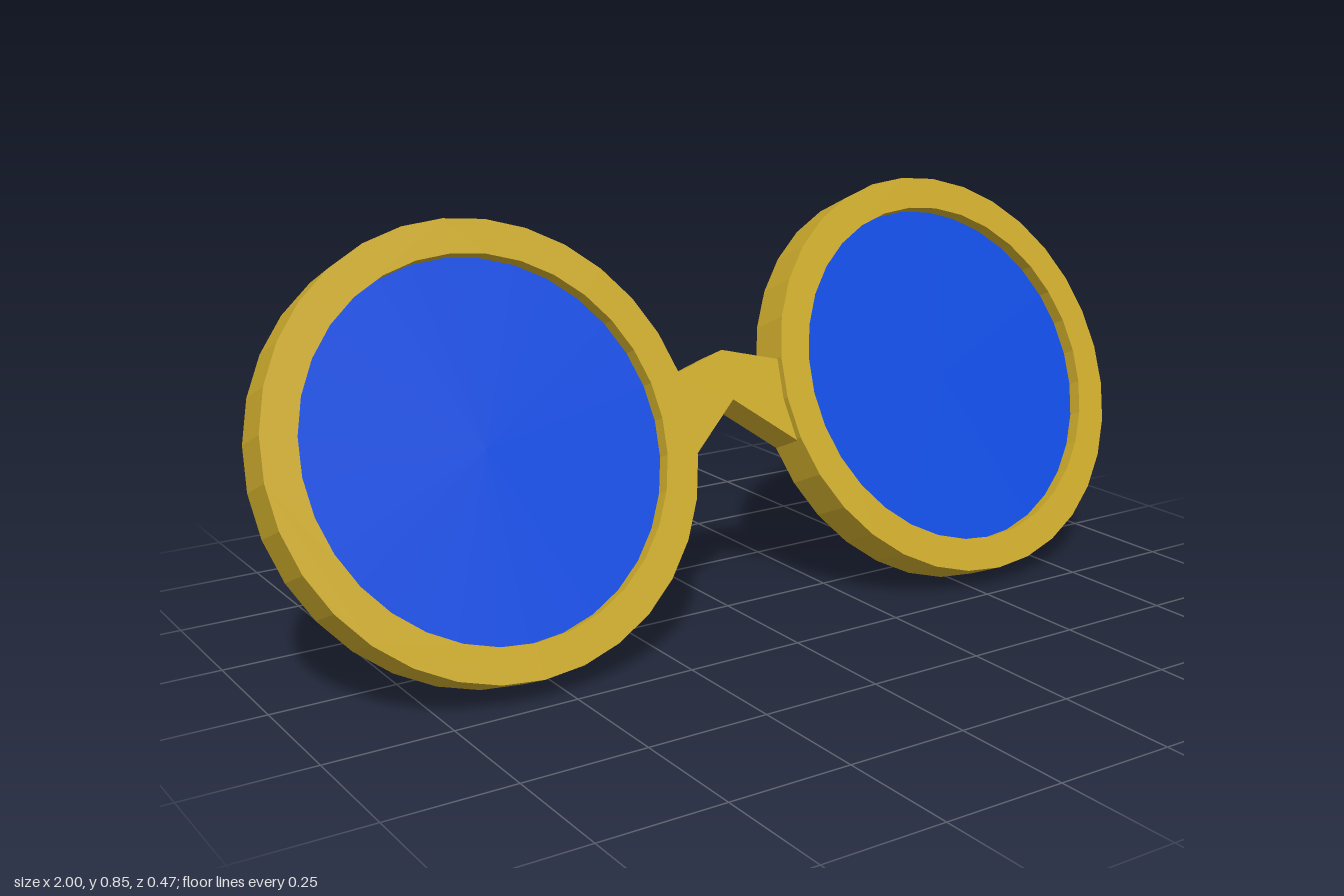
import * as THREE from 'three';

const gold = new THREE.MeshStandardMaterial({ color: 0xc9a82b, flatShading: true });
const blue = new THREE.MeshStandardMaterial({ color: 0x0f4be0, flatShading: true });

const DEPTH = 0.097;      // rim thickness
const RIM_X = 0.559;      // rim centre
const RIM_R = 0.441;
const HOLE_R = 0.372;

// Flat extrusion between two z planes
function slab(name, shape, z0, z1, material) {
  const geometry = new THREE.ExtrudeGeometry(shape, {
    depth: z1 - z0, bevelEnabled: false, curveSegments: 16,
  });
  geometry.translate(0, 0, z0);
  const mesh = new THREE.Mesh(geometry, material);
  mesh.name = name;
  return mesh;
}

export function createModel() {
  const glasses = new THREE.Group();
  glasses.name = 'spectacles';

  for (const [side, s] of [['left', 1], ['right', -1]]) {
    // Round rim with a through hole
    const ring = new THREE.Shape().absarc(0, 0, RIM_R, 0, Math.PI * 2);
    ring.holes.push(new THREE.Path().absarc(0, 0, HOLE_R, 0, Math.PI * 2, true));
    const rim = slab(side + 'Rim', ring, -DEPTH / 2, DEPTH / 2, gold);
    rim.position.x = s * RIM_X;

    // Lens set back inside the rim
    const disc = new THREE.CylinderGeometry(HOLE_R + 0.003, HOLE_R + 0.003, 0.02, 32);
    disc.rotateX(Math.PI / 2);
    const lens = new THREE.Mesh(disc, blue);
    lens.name = side + 'Lens';
    lens.position.set(s * RIM_X, 0, 0.008);
    glasses.add(rim, lens);
  }

  // Peaked nose bridge, ends buried in the rims
  const outline = [
    [-0.15, 0.078], [-0.15, -0.108], [-0.004, 0.016],
    [0.15, -0.108], [0.15, 0.078], [-0.004, 0.12],
  ].map(([x, y]) => new THREE.Vector2(x, y));
  glasses.add(slab('bridge', new THREE.Shape(outline), -DEPTH / 2 + 0.001, DEPTH / 2 - 0.015, gold));

  // Leaning back, with a slight turn
  glasses.rotation.set(-0.424, 0.0136, 0);
  glasses.position.set(0, 0.424, 0.001);

  const model = new THREE.Group();
  model.add(glasses);
  return model;
}
